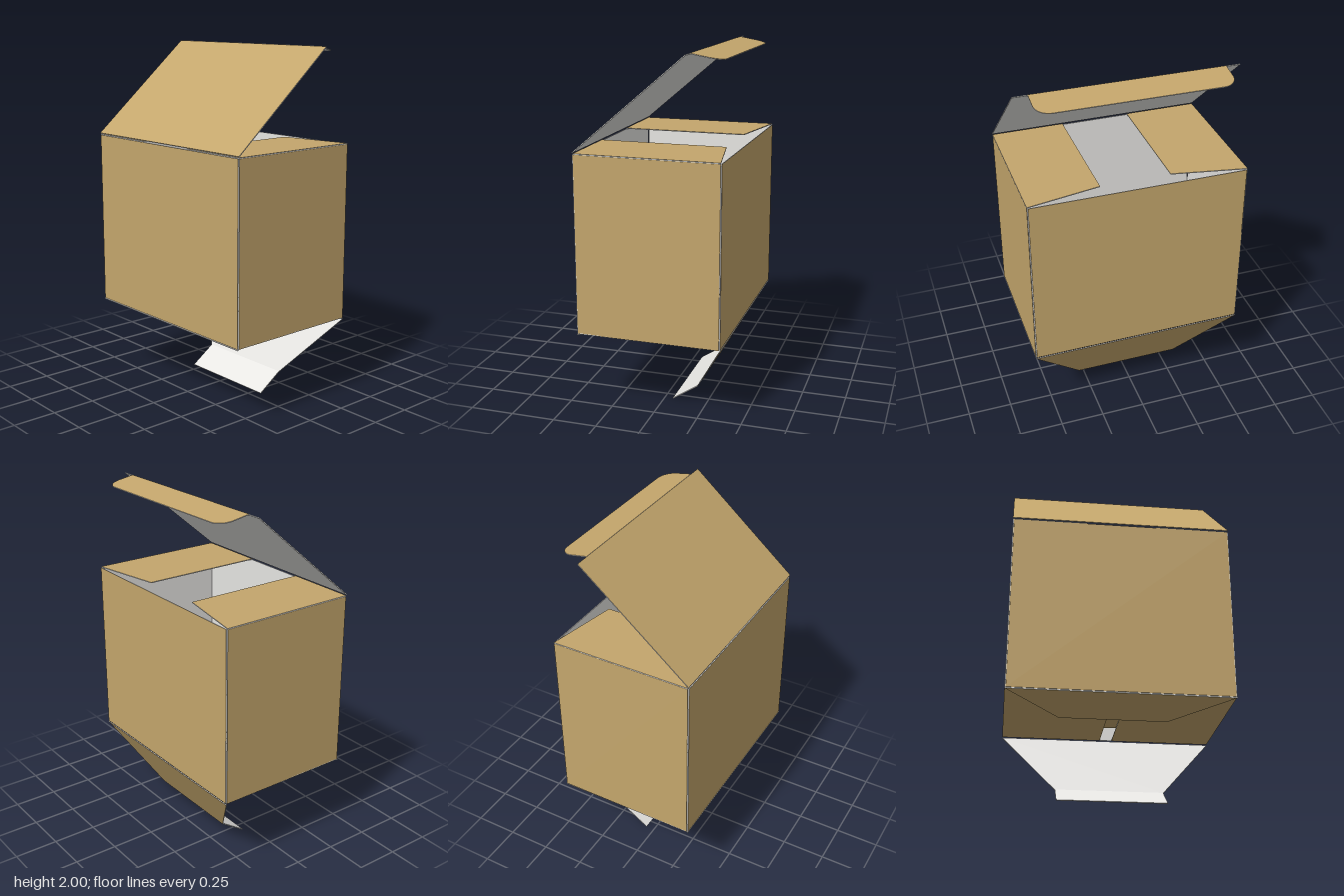
import * as THREE from 'three';

const W = 0.61, D = 0.405, T = 0.005; // half width, half depth, board thickness
const BASE = 0.465, TOP = 1.465;

const kraft = new THREE.MeshStandardMaterial({ color: 0xc4a66c });
kraft.name = 'kraft brown outside';
const white = new THREE.MeshStandardMaterial({ color: 0xecebe8 });
white.name = 'white inside';

// Board sheet: outer face (kraft) on local z = 0, inner face and cut edges white
function sheet(name, shape, position, turn = 0, tilt = 0) {
  const geo = new THREE.ExtrudeGeometry(shape, { depth: T, bevelEnabled: false, curveSegments: 10 });
  geo.translate(0, 0, -T);
  const caps = geo.groups[0].count, total = geo.attributes.position.count;
  geo.clearGroups();
  geo.addGroup(0, caps / 2, 0);
  geo.addGroup(caps / 2, caps / 2, 1);
  geo.addGroup(caps, total - caps, 0);
  const mesh = new THREE.Mesh(geo, [white, kraft]);
  mesh.name = name;
  mesh.position.set(...position);
  mesh.rotation.set(tilt, turn, 0, 'YXZ');
  return mesh;
}

const outline = (pts) => new THREE.Shape(pts.map(([x, y]) => new THREE.Vector2(x, y)));

// Hinge edge of half width a at v = 0, far edge of half width b at v
const trapezoid = (a, b, v) => outline([[-a, 0], [a, 0], [b, v], [-b, v]]);

// Tuck flap with rounded far corners
function tuckShape(w, h, r) {
  const s = new THREE.Shape();
  s.moveTo(-w, 0);
  s.lineTo(w, 0);
  s.lineTo(w, h - r);
  s.absarc(w - r, h - r, r, 0, Math.PI / 2, false);
  s.lineTo(-w + r, h);
  s.absarc(-w + r, h - r, r, Math.PI / 2, Math.PI, false);
  s.closePath();
  return s;
}

export function createModel() {
  const box = new THREE.Group();
  box.name = 'foldingCarton';
  const H = TOP - BASE, Q = Math.PI / 2;

  // Walls, stopping short of the corners so the white edges show
  const wide = trapezoid(W - T - 0.001, W - T - 0.001, H);
  const narrow = trapezoid(D - T - 0.001, D - T - 0.001, H);
  box.add(sheet('frontWall', wide, [0, BASE, D]));
  box.add(sheet('backWall', wide, [0, BASE, -D], Math.PI));

  for (const s of [1, -1]) {
    const side = s > 0 ? 'left' : 'right';
    box.add(sheet(side + 'Wall', narrow, [s * W, BASE, 0], s * Q));

    // Top dust flap, tapered along its back edge
    const dust = outline([[-s * 0.4, 0], [s * 0.4, 0], [s * 0.322, 0.413], [-s * 0.4, 0.413]]);
    box.add(sheet(side + 'TopDustFlap', dust, [s * W, TOP + 0.006, 0], s * Q, -Q));

    // Bottom dust flap, leaving a narrow gap in the middle
    box.add(sheet(side + 'BottomDustFlap', trapezoid(0.4, 0.4, -0.575), [s * W, 0.464, 0], s * Q, Q));
  }

  // Open lid hinged on the front wall, with its tuck flap
  box.add(sheet('lid', trapezoid(W, W, 0.807), [0, 1.477, D], 0, -Math.atan2(0.615, 0.522)));
  box.add(sheet('lidTuckFlap', tuckShape(0.53, 0.173, 0.08), [0, 2, -0.211], 0, -Q - 0.175));

  // Closed front bottom flap and its tab tucked above the dust flaps
  const flap = trapezoid(W, 0.305, -0.415);
  const tab = trapezoid(0.305, 0.305, -0.177);
  box.add(sheet('frontBottomFlap', flap, [0, 0.457, D], 0, Q));
  box.add(sheet('frontBottomTab', tab, [0, 0.471, D - 0.415], 0, Q));

  // Hanging back bottom flap and its tab
  box.add(sheet('backBottomFlap', flap, [0, 0.457, -D], Math.PI, 0.521));
  box.add(sheet('backBottomTab', tab, [0, 0.098, -0.199], Math.PI, 0.984));

  return box;
}
